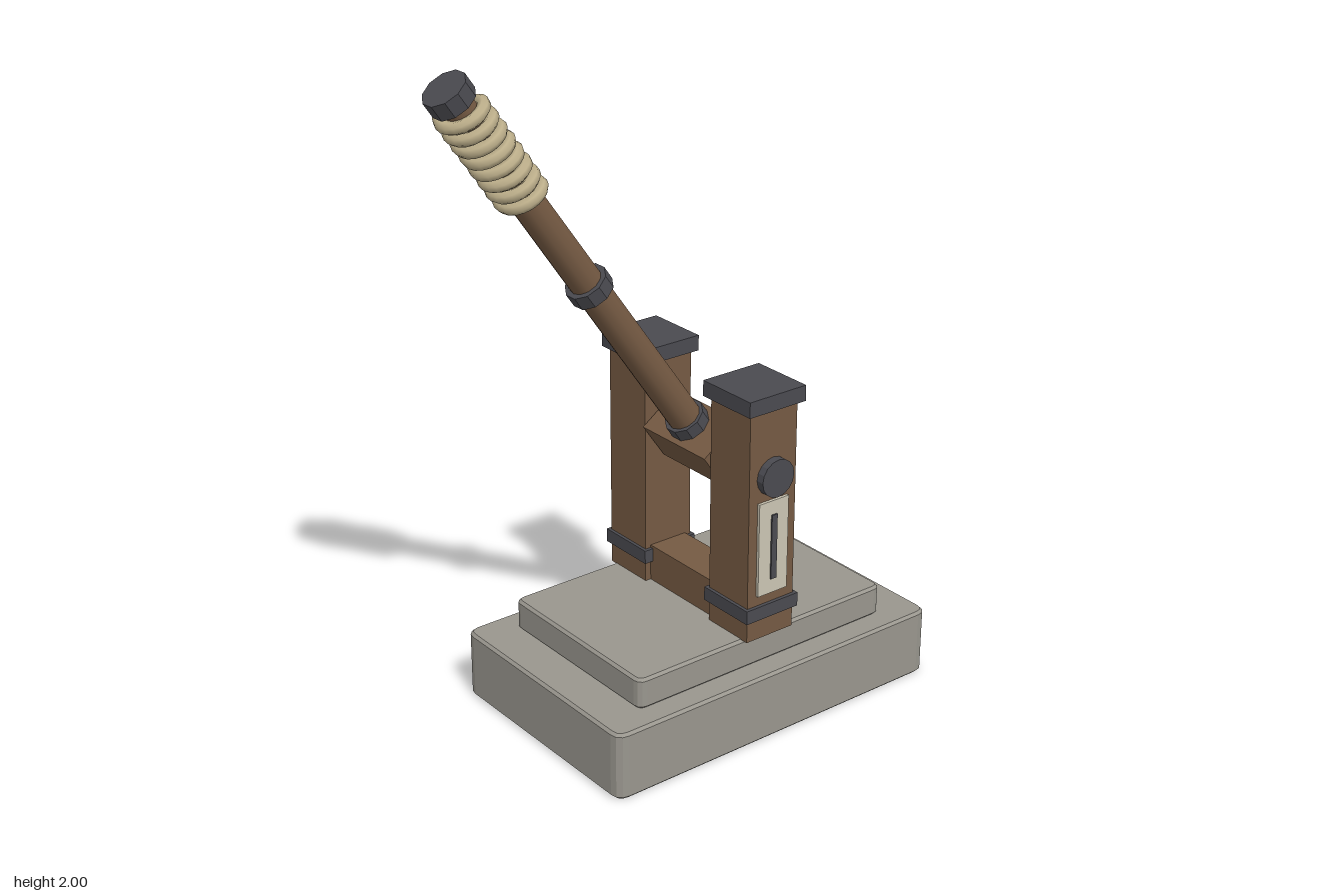
import * as THREE from 'three';

const material = (name, color) => {
  const m = new THREE.MeshStandardMaterial({ color });
  m.name = name;
  return m;
};

export function createModel() {
  const stone = material('stone', 0x99968e);
  const wood = material('wood', 0x755a43);
  const iron = material('dark iron', 0x4a4a50);
  const cream = material('cream plate', 0xcbc5b3);
  const rope = material('rope', 0xbcae8a);

  const model = new THREE.Group();
  model.name = 'leverStand';

  const add = (parent, name, geometry, mat, x = 0, y = 0, z = 0) => {
    const mesh = new THREE.Mesh(geometry, mat);
    mesh.name = name;
    mesh.position.set(x, y, z);
    parent.add(mesh);
    return mesh;
  };
  const box = (parent, name, mat, w, h, d, x, y, z) =>
    add(parent, name, new THREE.BoxGeometry(w, h, d), mat, x, y, z);

  // Cylinder with crisp facets
  const facetedCylinder = (r, h, sides) => {
    const g = new THREE.CylinderGeometry(r, r, h, sides).toNonIndexed();
    g.computeVertexNormals();
    return g;
  };

  // Stone slab with rounded corners and a fine bevel
  const slab = (w, d, h, r) => {
    const b = 0.008, x = w / 2 - b, z = d / 2 - b;
    const s = new THREE.Shape();
    s.moveTo(-x + r, -z);
    s.lineTo(x - r, -z);
    s.quadraticCurveTo(x, -z, x, -z + r);
    s.lineTo(x, z - r);
    s.quadraticCurveTo(x, z, x - r, z);
    s.lineTo(-x + r, z);
    s.quadraticCurveTo(-x, z, -x, z - r);
    s.lineTo(-x, -z + r);
    s.quadraticCurveTo(-x, -z, -x + r, -z);
    const g = new THREE.ExtrudeGeometry(s, {
      depth: h - 2 * b, bevelSize: b, bevelThickness: b, bevelSegments: 1, curveSegments: 3,
    });
    g.translate(0, 0, b);
    g.rotateX(-Math.PI / 2);
    return g;
  };

  const cx = 0.14, pivotY = 0.8;

  // Stepped base
  add(model, 'baseSlab', slab(1.16, 0.745, 0.208, 0.03), stone, cx, 0, 0);
  add(model, 'upperSlab', slab(0.905, 0.6, 0.095, 0.02), stone, cx, 0.207, 0);

  // Two posts with iron fittings and outer face plates
  for (const side of [1, -1]) {
    const post = new THREE.Group();
    post.name = side > 0 ? 'frontPost' : 'backPost';
    const z = side * 0.2335;
    box(post, 'postBeam', wood, 0.168, 0.71, 0.168, cx, 0.655, z);
    box(post, 'postCap', iron, 0.2, 0.047, 0.2, cx, 1.027, z);
    box(post, 'postBand', iron, 0.188, 0.042, 0.19, cx, 0.387, z);
    box(post, 'facePlate', cream, 0.106, 0.288, 0.009, cx, 0.584, side * 0.322);
    box(post, 'plateSlot', iron, 0.02, 0.2, 0.006, cx, 0.585, side * 0.328);
    const boss = add(post, 'axleBoss', facetedCylinder(0.057, 0.04, 16), iron, cx, pivotY, side * 0.322);
    boss.rotation.x = Math.PI / 2;
    model.add(post);
  }

  // Sill between the posts, and the axle
  box(model, 'sill', wood, 0.13, 0.115, 0.3, cx, 0.3585, 0);
  const axle = add(model, 'axle', new THREE.CylinderGeometry(0.025, 0.025, 0.62, 12), iron, cx, pivotY, 0);
  axle.rotation.x = Math.PI / 2;

  // Lever, built upright at the pivot and then tilted
  const lever = new THREE.Group();
  lever.name = 'lever';
  lever.position.set(cx, pivotY, 0);
  lever.rotation.z = THREE.MathUtils.degToRad(35);
  model.add(lever);

  box(lever, 'hubBlock', wood, 0.148, 0.134, 0.28, 0, 0, 0);
  add(lever, 'shaft', new THREE.CylinderGeometry(0.045, 0.05, 1.36, 12), wood, 0, 0.7, 0);
  add(lever, 'baseCollar', facetedCylinder(0.061, 0.04, 10), iron, 0, 0.087, 0);
  add(lever, 'middleCollar', facetedCylinder(0.063, 0.045, 10), iron, 0, 0.673, 0);
  add(lever, 'endCap', facetedCylinder(0.064, 0.05, 10), iron, 0, 1.398, 0);

  // Rope wound around the grip
  const turns = 8, points = [];
  for (let i = 0; i <= turns * 12; i++) {
    const a = (i / 12) * Math.PI * 2;
    const y = 1.03 + (0.335 * i) / (turns * 12);
    points.push(new THREE.Vector3(Math.cos(a) * 0.058, y, Math.sin(a) * 0.058));
  }
  const coil = new THREE.CatmullRomCurve3(points);
  add(lever, 'gripRope', new THREE.TubeGeometry(coil, turns * 20, 0.018, 7), rope);

  return model;
}
